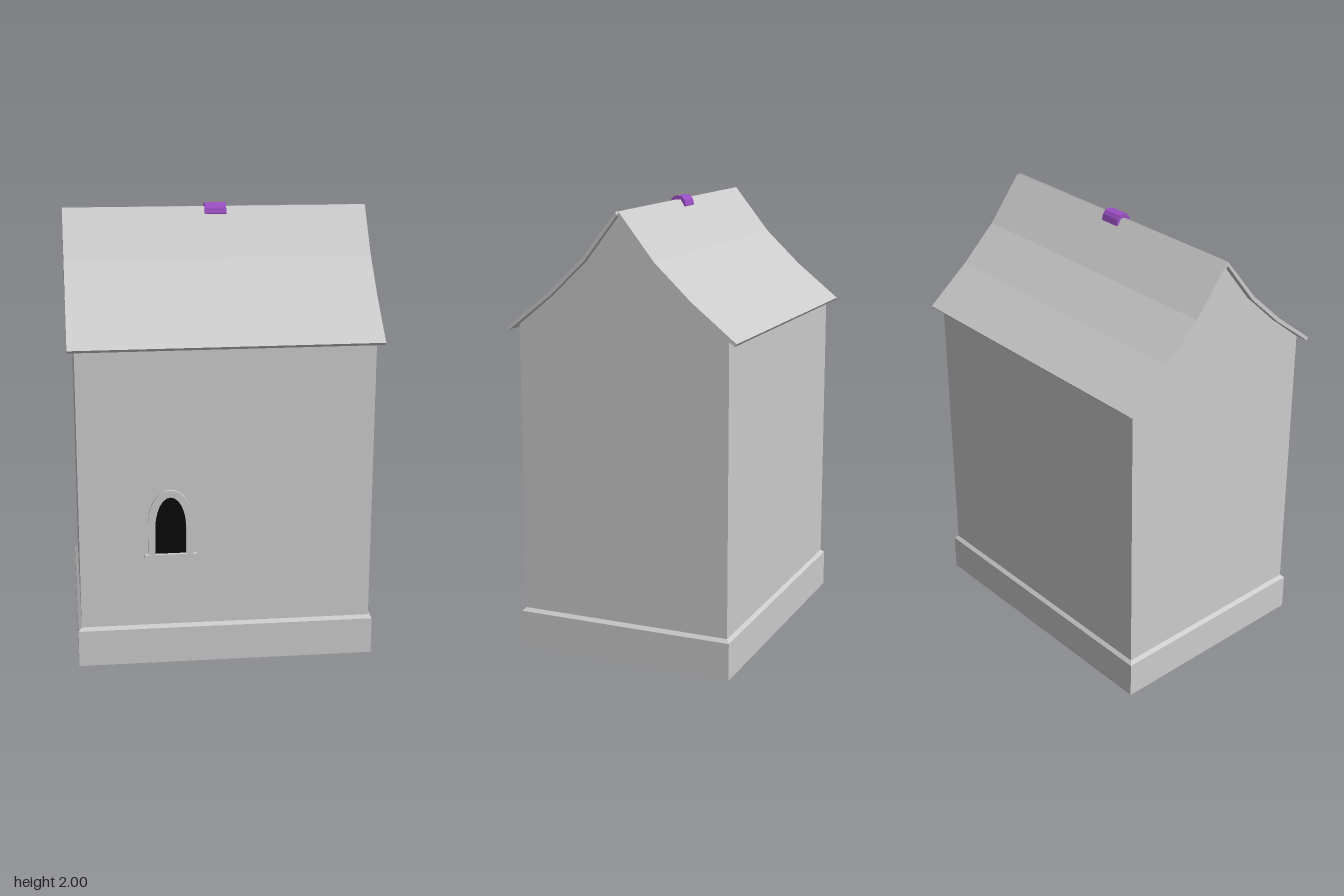
import * as THREE from 'three';

const stone = new THREE.MeshStandardMaterial({ color: 0xcccccc, side: THREE.DoubleSide });
stone.name = 'pale grey';
const purple = new THREE.MeshStandardMaterial({ color: 0x9b4fc4, side: THREE.DoubleSide });
purple.name = 'purple';
const black = new THREE.MeshStandardMaterial({ color: 0x0a0a0a, side: THREE.DoubleSide });
black.name = 'black';

function add(group, name, geometry, material) {
  const mesh = new THREE.Mesh(geometry, material);
  mesh.name = name;
  group.add(mesh);
  return mesh;
}

const polygon = (pts) => new THREE.Shape(pts.map(([u, v]) => new THREE.Vector2(u, v)));

// Open rectangular shell through rings of [half width, half depth, height]
function rectShell(rings) {
  const signs = [[1, 1], [1, -1], [-1, -1], [-1, 1]];
  const pos = [];
  const corner = ([hx, hz, y], i) => [signs[i % 4][0] * hx, y, signs[i % 4][1] * hz];
  for (let r = 0; r < rings.length - 1; r++) {
    for (let i = 0; i < 4; i++) {
      const a = corner(rings[r], i), b = corner(rings[r], i + 1);
      const c = corner(rings[r + 1], i + 1), d = corner(rings[r + 1], i);
      pos.push(...a, ...b, ...c, ...a, ...c, ...d);
    }
  }
  const g = new THREE.BufferGeometry();
  g.setAttribute('position', new THREE.Float32BufferAttribute(pos, 3));
  g.computeVertexNormals();
  return g;
}

// Extrude a z/y profile along x, centred on x = 0
function extrudeX(pts, length) {
  const g = new THREE.ExtrudeGeometry(polygon(pts), { depth: length, bevelEnabled: false });
  return g.translate(0, 0, -length / 2).rotateY(Math.PI / 2);
}

// Round-headed outline: straight jambs with an elliptical arch
function archPoints(halfWidth, bottom, spring, top) {
  const pts = [[-halfWidth, bottom], [halfWidth, bottom]];
  for (let i = 0; i <= 12; i++) {
    const a = (i / 12) * Math.PI;
    pts.push([halfWidth * Math.cos(a), spring + (top - spring) * Math.sin(a)]);
  }
  return pts;
}

export function createModel() {
  const house = new THREE.Group();
  house.name = 'house';

  // Plinth with sloped top edge, and the walls above it
  add(house, 'plinth', rectShell([[0.665, 0.5, 0], [0.665, 0.5, 0.168], [0.65, 0.486, 0.183]]), stone);
  add(house, 'walls', rectShell([[0.65, 0.486, 0.183], [0.65, 0.486, 1.478]]), stone);

  // Gable ends following the curve of the roof
  const gable = polygon([[-0.486, 1.478], [0.486, 1.478], [0.32, 1.613], [0.16, 1.765],
    [0, 1.968], [-0.16, 1.765], [-0.32, 1.613]]);
  for (const s of [1, -1]) {
    const mesh = add(house, s > 0 ? 'leftGable' : 'rightGable', new THREE.ShapeGeometry(gable), stone);
    mesh.rotation.y = s * Math.PI / 2;
    mesh.position.x = s * 0.65;
  }

  // Two thin flared roof slopes, the ridge dipping slightly to one end
  for (const s of [1, -1]) {
    const profile = [[0, 1.987], [0.167, 1.78], [0.33, 1.627], [0.53, 1.468],
      [0.521, 1.456], [0.32, 1.614], [0.157, 1.767], [0, 1.968]];
    const g = extrudeX(profile.map(([z, y]) => [-s * z, y]), 1.36);
    const p = g.attributes.position;
    for (let i = 0; i < p.count; i++) {
      if (p.getY(i) > 1.98 && p.getX(i) > 0) {
        p.setY(i, 1.98);
        p.setZ(i, s * 0.008);
      }
    }
    g.computeVertexNormals();
    add(house, s > 0 ? 'frontRoof' : 'backRoof', g, stone);
  }

  // Ridge tile
  add(house, 'ridgeTile', extrudeX([[-0.04, 1.955], [-0.033, 1.98], [-0.02, 1.997], [0, 2],
    [0.02, 1.997], [0.033, 1.98], [0.04, 1.955], [0.033, 1.952], [0.014, 1.982],
    [-0.014, 1.982], [-0.033, 1.952]], 0.096), purple);

  // Arched window: raised surround, sill and dark pane
  const windowGroup = new THREE.Group();
  windowGroup.name = 'window';
  windowGroup.position.set(-0.248, 0, 0.486);
  const surround = polygon(archPoints(0.1, 0.52, 0.67, 0.822));
  surround.holes.push(polygon(archPoints(0.068, 0.524, 0.65, 0.79)));
  add(windowGroup, 'surround',
    new THREE.ExtrudeGeometry(surround, { depth: 0.015, bevelEnabled: false }), stone);
  const sill = add(windowGroup, 'sill', new THREE.BoxGeometry(0.232, 0.022, 0.018), stone);
  sill.position.set(0, 0.513, 0.009);
  const pane = add(windowGroup, 'pane',
    new THREE.ShapeGeometry(polygon(archPoints(0.068, 0.524, 0.65, 0.79))), black);
  pane.position.z = 0.003;
  house.add(windowGroup);

  return house;
}
